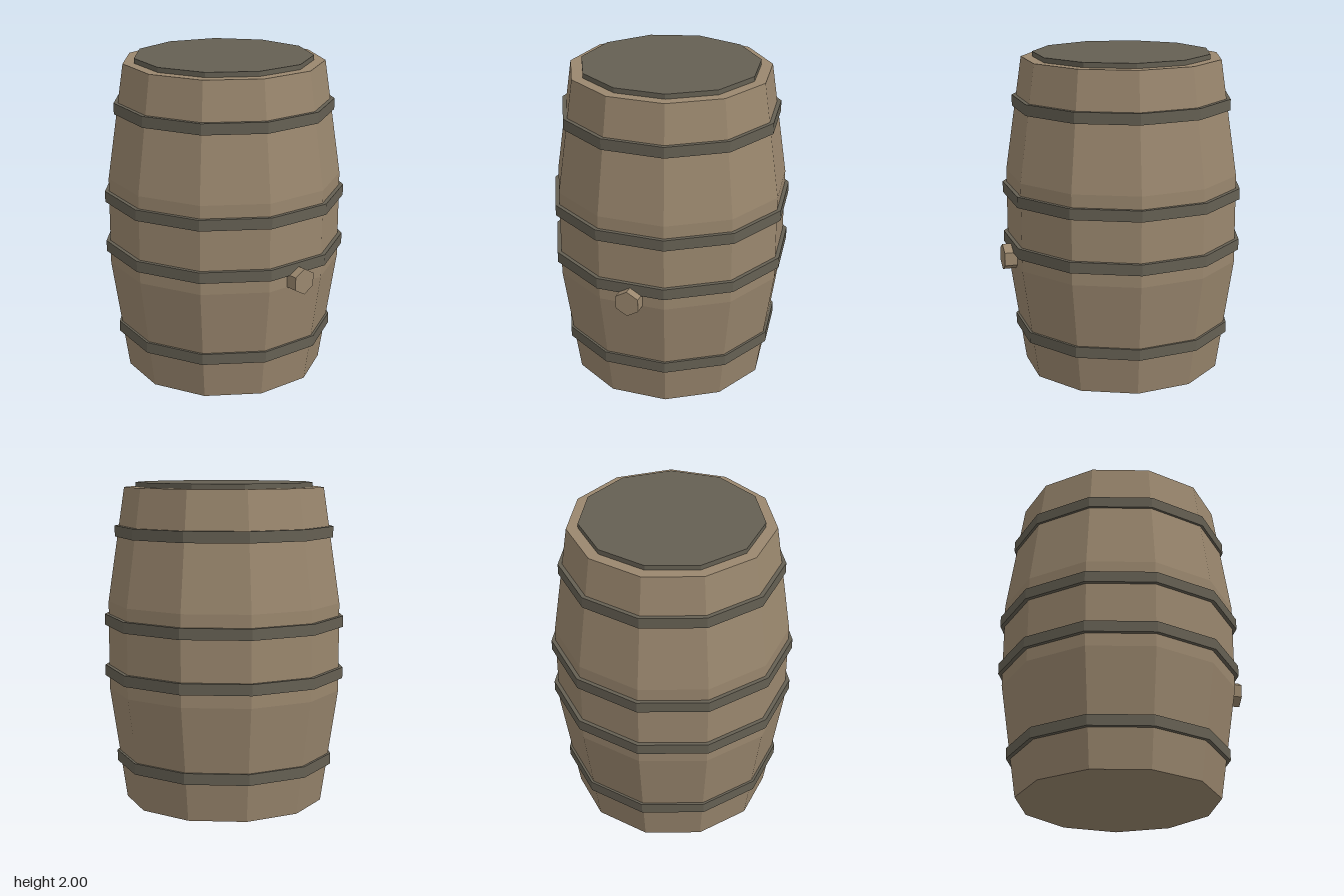
import * as THREE from 'three';

const SIDES = 11;

// Faceted solid of revolution with one corner pointing to the back
function facetedLathe(profile) {
  const points = profile.map(([r, y]) => new THREE.Vector2(r, y));
  const geo = new THREE.LatheGeometry(points, SIDES, Math.PI).toNonIndexed();
  geo.computeVertexNormals();
  return geo;
}

export function createModel() {
  const wood = new THREE.MeshStandardMaterial({ color: 0x9a876e });
  wood.name = 'wood';
  const iron = new THREE.MeshStandardMaterial({ color: 0x656053 });
  iron.name = 'iron';

  const group = new THREE.Group();
  group.name = 'barrel';
  const add = (name, geo, mat, z = -0.013) => {
    const mesh = new THREE.Mesh(geo, mat);
    mesh.name = name;
    mesh.position.z = z;
    group.add(mesh);
    return mesh;
  };

  // Staves, closed at both ends
  add('body', facetedLathe([
    [0, 0], [0.622, 0], [0.727, 0.71], [0.727, 1.26], [0.622, 1.97], [0, 1.97],
  ]), wood);

  // Lid
  add('lid', facetedLathe([[0, 1.96], [0.552, 1.96], [0.552, 2], [0, 2]]), iron);

  // Four hoops: bottom height, outer radius, inner radius
  [
    [0.238, 0.683, 0.64],
    [0.79, 0.752, 0.71],
    [1.113, 0.752, 0.71],
    [1.665, 0.683, 0.64],
  ].forEach(([y, outer, inner], i) => {
    const top = y + 0.068;
    add(`hoop${i + 1}`, facetedLathe([
      [inner, y], [outer, y], [outer, top], [inner, top], [inner, y],
    ]), iron);
  });

  // Hexagonal bung on the front, corner up
  const bungGeo = new THREE.CylinderGeometry(0.081, 0.081, 0.12, 6).rotateX(Math.PI / 2).toNonIndexed();
  bungGeo.computeVertexNormals();
  add('bung', bungGeo, wood, 0.703).position.y = 0.752;

  return group;
}
